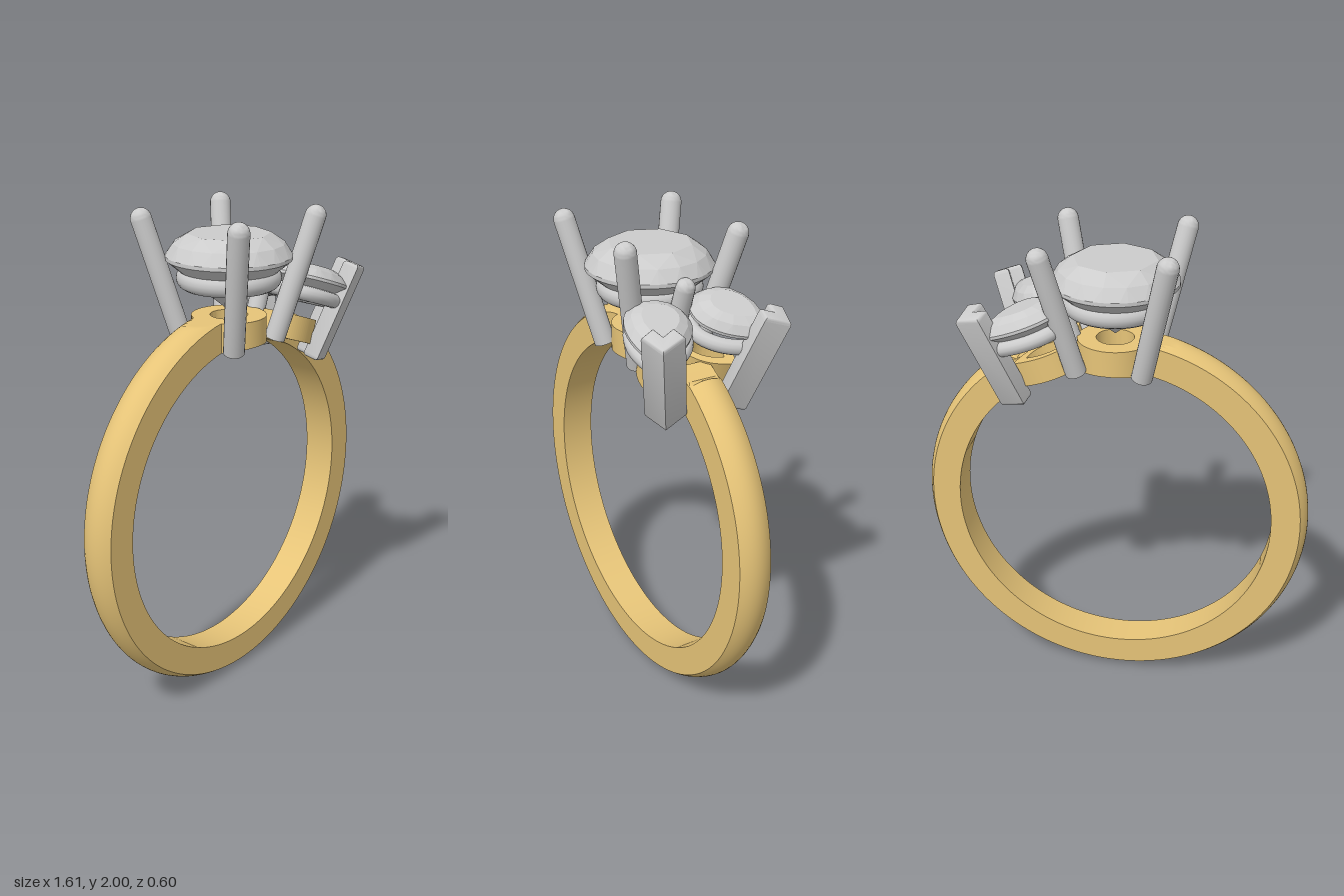
import * as THREE from 'three';
import { toCreasedNormals } from 'three/addons/utils/BufferGeometryUtils.js';
import { ConvexGeometry } from 'three/addons/geometries/ConvexGeometry.js';

const rad = THREE.MathUtils.degToRad;
const V = (x, y, z) => new THREE.Vector3(x, y, z);
const CY = 0.81, INNER = 0.66, OUTER = 0.805, HALF = 0.07, SEAT_TOP = 1.575;
const TILT = rad(20), YAW = rad(31);

export function createModel() {
  const model = new THREE.Group();
  const gold = new THREE.MeshStandardMaterial({ color: 0xe6c478, side: THREE.DoubleSide });
  const grey = new THREE.MeshStandardMaterial({ color: 0xcccccc });

  const add = (name, geometry, material, parent = model) => {
    const mesh = new THREE.Mesh(geometry, material);
    mesh.name = name;
    parent.add(mesh);
    return mesh;
  };

  // Teardrop outline: round lobe at the origin, point on +x
  const pear = (R, L, S = THREE.Shape) => {
    const s = new S();
    s.absarc(0, 0, R, Math.PI / 2, Math.PI * 1.5, false);
    s.quadraticCurveTo(L * 0.55, -R, L, 0);
    s.quadraticCurveTo(L * 0.55, R, 0, R);
    return s;
  };

  // Cut stone: scaled copies of an outline [scale, height, point step] and a culet
  const gem = (outline, cx, levels, culet) => {
    const pts = [V(cx, culet, 0)];
    for (const [k, y, step] of levels)
      for (let i = 0; i < outline.length; i += step)
        pts.push(V(cx + (outline[i].x - cx) * k, y, outline[i].y * k));
    return new ConvexGeometry(pts);
  };

  // Round-ended rod between two points, with a flat foot
  const rod = (name, a, b, r) => {
    const d = b.clone().sub(a), len = d.length();
    const profile = [new THREE.Vector2(0, 0), new THREE.Vector2(r, 0)];
    for (let i = 0; i <= 8; i++) {
      const t = (i / 8) * Math.PI / 2;
      profile.push(new THREE.Vector2(r * Math.cos(t), len - r + r * Math.sin(t)));
    }
    const m = add(name, toCreasedNormals(new THREE.LatheGeometry(profile, 20), 0.7), grey);
    m.position.copy(a);
    m.quaternion.setFromUnitVectors(V(0, 1, 0), d.normalize());
  };

  // Band: domed section swept round the finger, open where the seats sit
  const section = [new THREE.Vector2(INNER, -HALF)];
  for (let i = 0; i <= 10; i++) {
    const t = i / 5 - 1;
    section.push(new THREE.Vector2(OUTER - 0.027 * t * t, HALF * t));
  }
  section.push(new THREE.Vector2(INNER, HALF));
  const start = rad(24), end = rad(352);
  const bandGeo = new THREE.LatheGeometry([...section, section[0].clone()], 164, Math.PI - end, end - start);
  bandGeo.rotateX(Math.PI / 2);
  // Trim the outside level with the seats
  const trim = (geo) => {
    const p = geo.attributes.position;
    for (let i = 0; i < p.count; i++) {
      let x = p.getX(i), y = p.getY(i);
      const a = Math.atan2(x, y), r = Math.hypot(x, y);
      if (a > 0 && a < rad(31) && r > 0.77) { x *= 0.77 / r; y *= 0.77 / r; }
      p.setXY(i, x, Math.min(y, SEAT_TOP - CY));
    }
    return geo.translate(0, CY, 0);
  };
  add('band', toCreasedNormals(trim(bandGeo), 0.4), gold);
  for (const a of [start, end]) {
    const cap = new THREE.ShapeGeometry(new THREE.Shape(section));
    cap.applyMatrix4(new THREE.Matrix4().makeBasis(
      V(Math.sin(a), Math.cos(a), 0), V(0, 0, 1), V(Math.cos(a), -Math.sin(a), 0)));
    add('bandEnd', toCreasedNormals(trim(cap), 0.4), gold);
  }

  // Pierced seat, extruded downward from its top
  const seat = (shape, hole, depth) => {
    shape.holes.push(hole);
    return new THREE.ExtrudeGeometry(shape, { depth, bevelEnabled: false, curveSegments: 32 })
      .rotateX(Math.PI / 2);
  };

  // Centre seat, its underside following the finger hole
  const disc = new THREE.Shape().absarc(0, 0, 0.15, 0, Math.PI * 2, false);
  const discHole = new THREE.Path().absarc(0, 0, 0.075, 0, Math.PI * 2, true);
  const discGeo = seat(disc, discHole, 0.11).translate(0, SEAT_TOP, 0);
  const dp = discGeo.attributes.position;
  for (let i = 0; i < dp.count; i++)
    if (dp.getY(i) < 1.5) dp.setY(i, CY + Math.sqrt(INNER ** 2 - dp.getX(i) ** 2));
  add('centreSeat', toCreasedNormals(discGeo, 0.5), gold);

  // Centre stone and the rail under it
  const circle = [];
  for (let i = 0; i < 48; i++) {
    const a = (i / 48) * Math.PI * 2;
    circle.push(new THREE.Vector2(0.25 * Math.cos(a), 0.25 * Math.sin(a)));
  }
  add('centreStone', gem(circle, 0,
    [[1, -0.01, 1], [1, 0.005, 1], [0.88, 0.052, 3], [0.66, 0.09, 6]], -0.22), grey).position.y = 1.81;
  const rail = add('centreRail', new THREE.TorusGeometry(0.165, 0.043, 16, 64), grey);
  rail.rotation.x = Math.PI / 2;
  rail.position.y = 1.725;

  // Four centre prongs
  for (const sx of [-1, 1])
    for (const sz of [-1, 1])
      rod('centreProng', V(sx * 0.13, 1.47, sz * 0.13), V(sx * 0.248, 2.0, sz * 0.248), 0.042);

  // Small prong shared by the two side stones
  rod('sharedProng', V(0.15, 1.49, 0), V(0.272, 1.83, 0), 0.038);

  // Mirrored pair of teardrop side settings
  for (const s of [-1, 1]) {
    const place = (o, x, y, z) => {
      o.position.set(x, y, s * z);
      o.rotation.set(0, -s * YAW, -TILT, 'ZYX');
    };
    const outline = pear(0.128, 0.22).getPoints(10);
    outline.pop();
    place(add('sideStone', gem(outline, 0.03,
      [[1, -0.006, 1], [1, 0.006, 1], [0.82, 0.036, 3], [0.55, 0.055, 3]], -0.1), grey), 0.3, 1.69, 0.14);

    const loop = pear(0.102, 0.175).getSpacedPoints(40).slice(0, -1).map((p) => V(p.x, 0, p.y));
    place(add('sideRail', new THREE.TubeGeometry(
      new THREE.CatmullRomCurve3(loop, true), 90, 0.03, 12, true), grey), 0.282, 1.628, 0.128);

    place(add('sideSeat', toCreasedNormals(
      seat(pear(0.085, 0.155), pear(0.052, 0.1, THREE.Path), 0.1), 0.5), gold), 0.245, 1.545, 0.085);

    // Chevron prong wrapping the point of the stone
    const foot = V(0.375, 1.355, s * 0.15), top = V(0.505, 1.715, s * 0.24);
    const dir = top.clone().sub(foot);
    const len = dir.length();
    dir.normalize();
    const out = V(Math.cos(YAW), 0, s * Math.sin(YAW));
    out.addScaledVector(dir, -out.dot(dir)).normalize();
    const chevron = new THREE.Shape([[0.045, 0], [-0.015, 0.062], [-0.045, 0.036], [-0.005, 0],
      [-0.045, -0.036], [-0.015, -0.062]].map(([x, y]) => new THREE.Vector2(x, y)));
    const vGeo = new THREE.ExtrudeGeometry(chevron, {
      depth: len, bevelEnabled: true, bevelSize: 0.012, bevelThickness: 0.015, bevelSegments: 3,
    });
    vGeo.applyMatrix4(new THREE.Matrix4().makeBasis(out, dir.clone().cross(out), dir).setPosition(foot));
    add('chevronProng', toCreasedNormals(vGeo, 0.6), grey);
  }
  return model;
}
